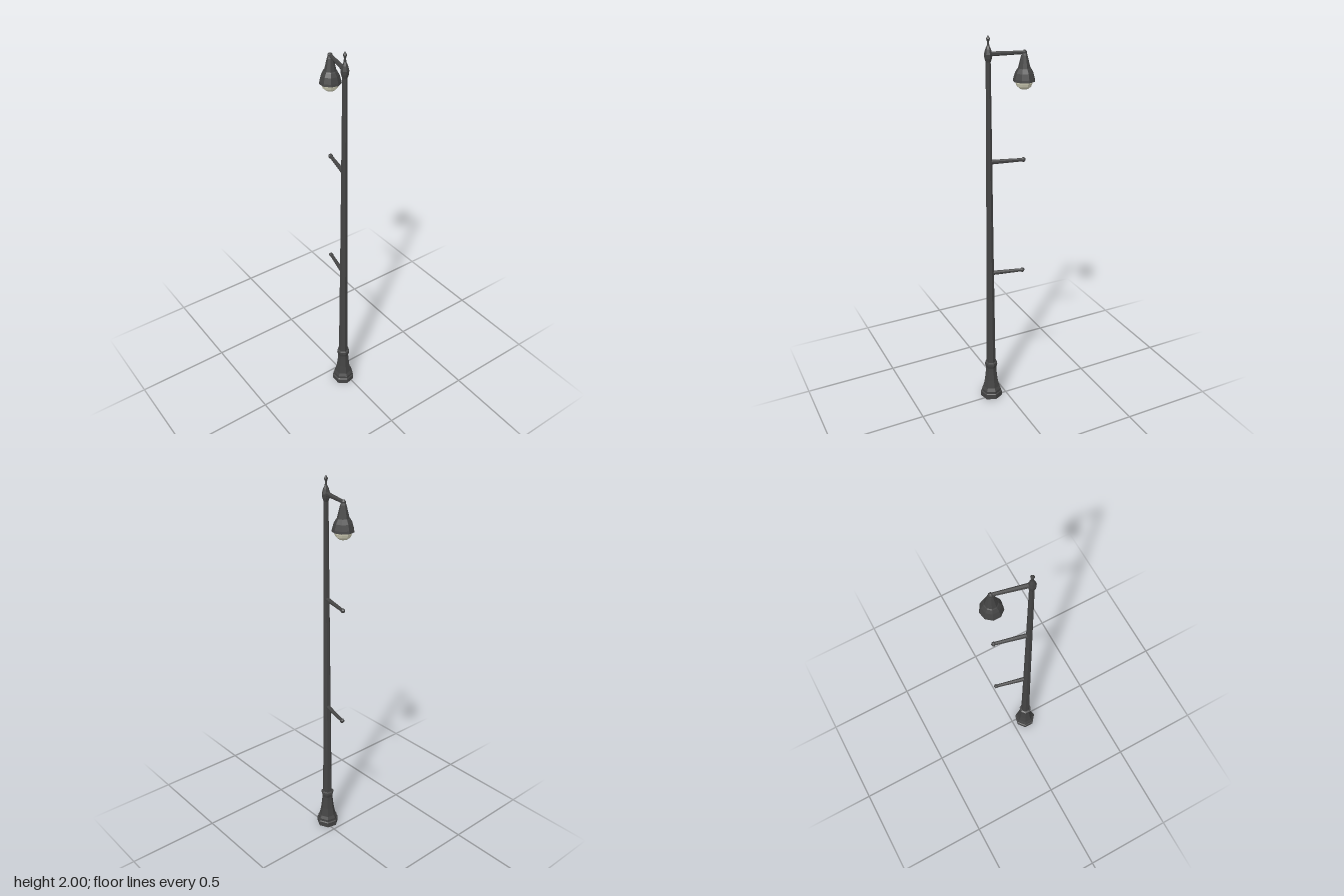
import * as THREE from 'three';

const iron = new THREE.MeshStandardMaterial({ color: 0x444444, flatShading: true });
const glass = new THREE.MeshStandardMaterial({ color: 0xd2d0b8, flatShading: true });

const POLE = new THREE.Vector3(-0.02, 0, 0.08);
const LAMP = new THREE.Vector3(0.02, 0, -0.088);

// Turned part from [radius, height] pairs, bottom to top, with a corner on +x
function turned(name, profile, sides, centre, material = iron) {
  const points = profile.map(([r, y]) => new THREE.Vector2(r, y));
  const mesh = new THREE.Mesh(new THREE.LatheGeometry(points, sides), material);
  mesh.name = name;
  mesh.rotation.y = Math.PI / 2;
  mesh.position.copy(centre);
  return mesh;
}

// Tapered bar between two points
function bar(name, from, to, r0, r1) {
  const dir = to.clone().sub(from);
  const mesh = new THREE.Mesh(new THREE.CylinderGeometry(r1, r0, dir.length(), 7), iron);
  mesh.name = name;
  mesh.position.copy(from).addScaledVector(dir, 0.5);
  mesh.quaternion.setFromUnitVectors(new THREE.Vector3(0, 1, 0), dir.normalize());
  return mesh;
}

// Side arm at a given height, with a small knob at its tip
function arm(name, y) {
  const group = new THREE.Group();
  group.name = name;
  const from = POLE.clone().setY(y);
  const to = LAMP.clone().setY(y);
  group.add(bar('armBar', from, to, 0.012, 0.0085));
  const knob = new THREE.Mesh(new THREE.SphereGeometry(0.012, 7, 5), iron);
  knob.name = 'armKnob';
  knob.position.copy(to);
  group.add(knob);
  return group;
}

export function createModel() {
  const model = new THREE.Group();
  model.name = 'streetLamp';

  // Flared foot with a collar
  model.add(turned('base', [
    [0, 0], [0.06, 0], [0.06, 0.028], [0.054, 0.032], [0.054, 0.046], [0.045, 0.062],
    [0.036, 0.11], [0.03, 0.165], [0.029, 0.185], [0.035, 0.205], [0.034, 0.217], [0.022, 0.222],
  ], 7, POLE));

  // Tapering shaft
  model.add(turned('shaft', [[0.025, 0.2], [0.019, 0.9], [0.012, 1.885]], 7, POLE));

  // Finial on top
  model.add(turned('finial', [
    [0.012, 1.875], [0.018, 1.893], [0.02, 1.912], [0.014, 1.935], [0.006, 1.952],
    [0.005, 1.97], [0.01, 1.983], [0.005, 1.992], [0, 2],
  ], 7, POLE));

  // Arms: the top one carries the lamp
  [['lowerArm', 0.77], ['middleArm', 1.385], ['lampArm', 1.913]].forEach(([name, y]) => model.add(arm(name, y)));

  // Lamp shade and glass bowl
  model.add(turned('lampShade', [
    [0, 1.778], [0.054, 1.778], [0.052, 1.79], [0.044, 1.818], [0.034, 1.836],
    [0.03, 1.84], [0.015, 1.9], [0.009, 1.914], [0, 1.916],
  ], 9, LAMP));
  model.add(turned('lampGlass', [
    [0, 1.738], [0.022, 1.742], [0.036, 1.754], [0.042, 1.77], [0.042, 1.78],
  ], 9, LAMP, glass));

  return model;
}
